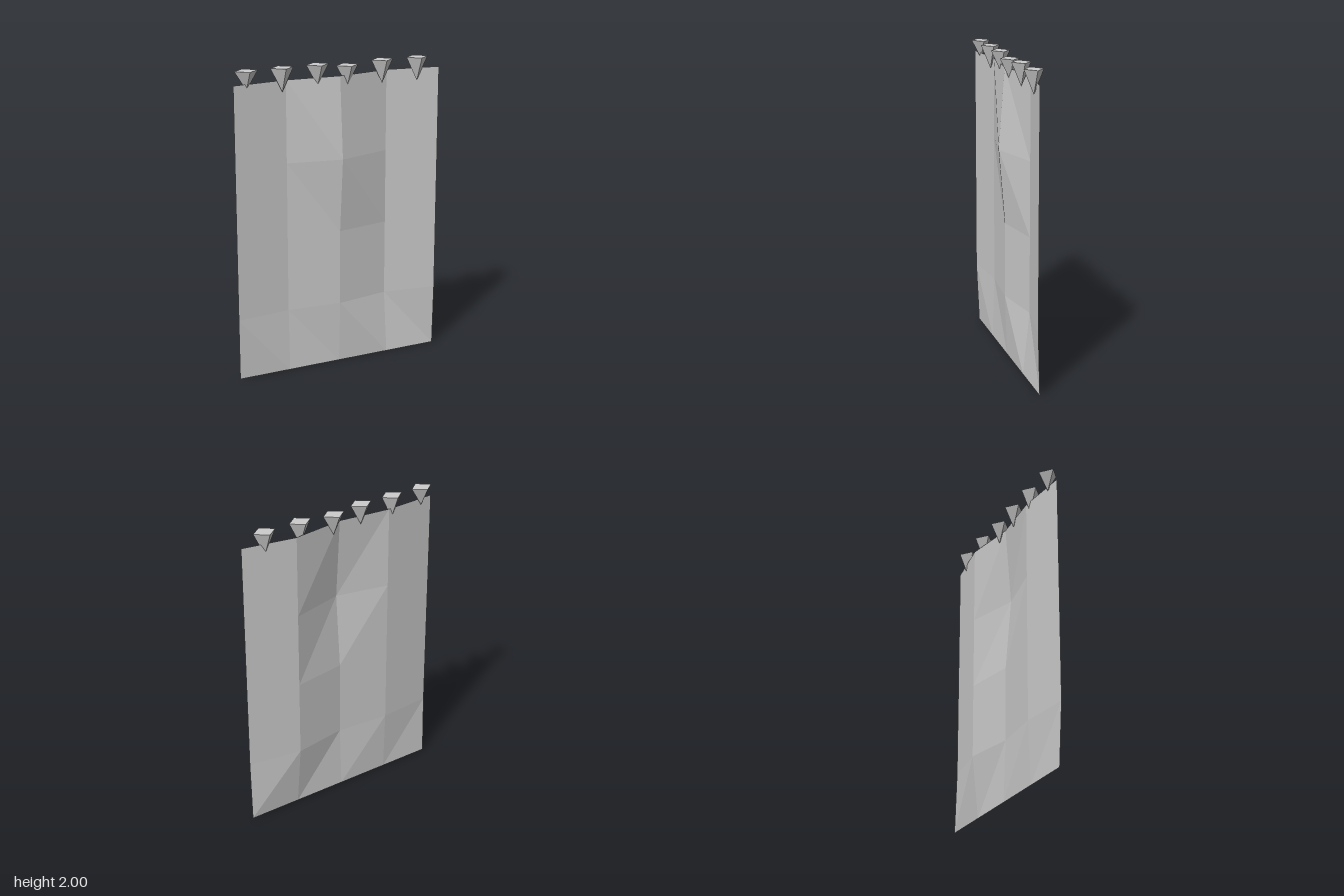
import * as THREE from 'three';

export function createModel() {
  const group = new THREE.Group();
  const grey = new THREE.MeshStandardMaterial({ color: 0xcccccc, side: THREE.DoubleSide, flatShading: true });
  grey.name = 'grey';

  // Hanging cloth: vertical folds that flatten at the hem, with one bulge in the middle
  const xs = [-0.712, -0.355, 0, 0.355, 0.708];
  const ys = [1.918, 1.39, 0.905, 0.41, 0];
  const folds = [0.017, -0.014, 0.016, -0.042, 0.012];
  const points = [], index = [];
  ys.forEach((y, r) => xs.forEach((x, c) => {
    const hem = r === 4;
    const bulge = r === 1 && c === 2 ? 0.04 : 0;
    points.push(hem && c === 0 ? -0.705 : x, y, hem ? 0 : folds[c] + bulge);
  }));
  for (let r = 0; r < 4; r++) {
    for (let c = 0; c < 4; c++) {
      const a = r * 5 + c, b = a + 5;
      index.push(a, b, b + 1, a, b + 1, a + 1);
    }
  }
  const clothShape = new THREE.BufferGeometry();
  clothShape.setAttribute('position', new THREE.Float32BufferAttribute(points, 3));
  clothShape.setIndex(index);
  const clothFlat = clothShape.toNonIndexed();
  clothFlat.computeVertexNormals();
  const cloth = new THREE.Mesh(clothFlat, grey);
  cloth.name = 'cloth';
  group.add(cloth);

  // Row of pegs: upside-down four-sided spikes [x, top, tip]
  const pegs = [
    [-0.62, 2, 1.878], [-0.385, 2, 1.847], [-0.147, 2, 1.864],
    [0.057, 1.98, 1.845], [0.302, 1.995, 1.843], [0.553, 1.992, 1.838],
  ];
  pegs.forEach(([x, top, tip], i) => {
    const shape = new THREE.ConeGeometry(0.077, top - tip, 4).rotateX(Math.PI).scale(1, 1, 0.82).toNonIndexed();
    shape.computeVertexNormals();
    const peg = new THREE.Mesh(shape, grey);
    peg.name = `peg${i + 1}`;
    peg.position.set(x, (top + tip) / 2, 0);
    group.add(peg);
  });

  return group;
}
